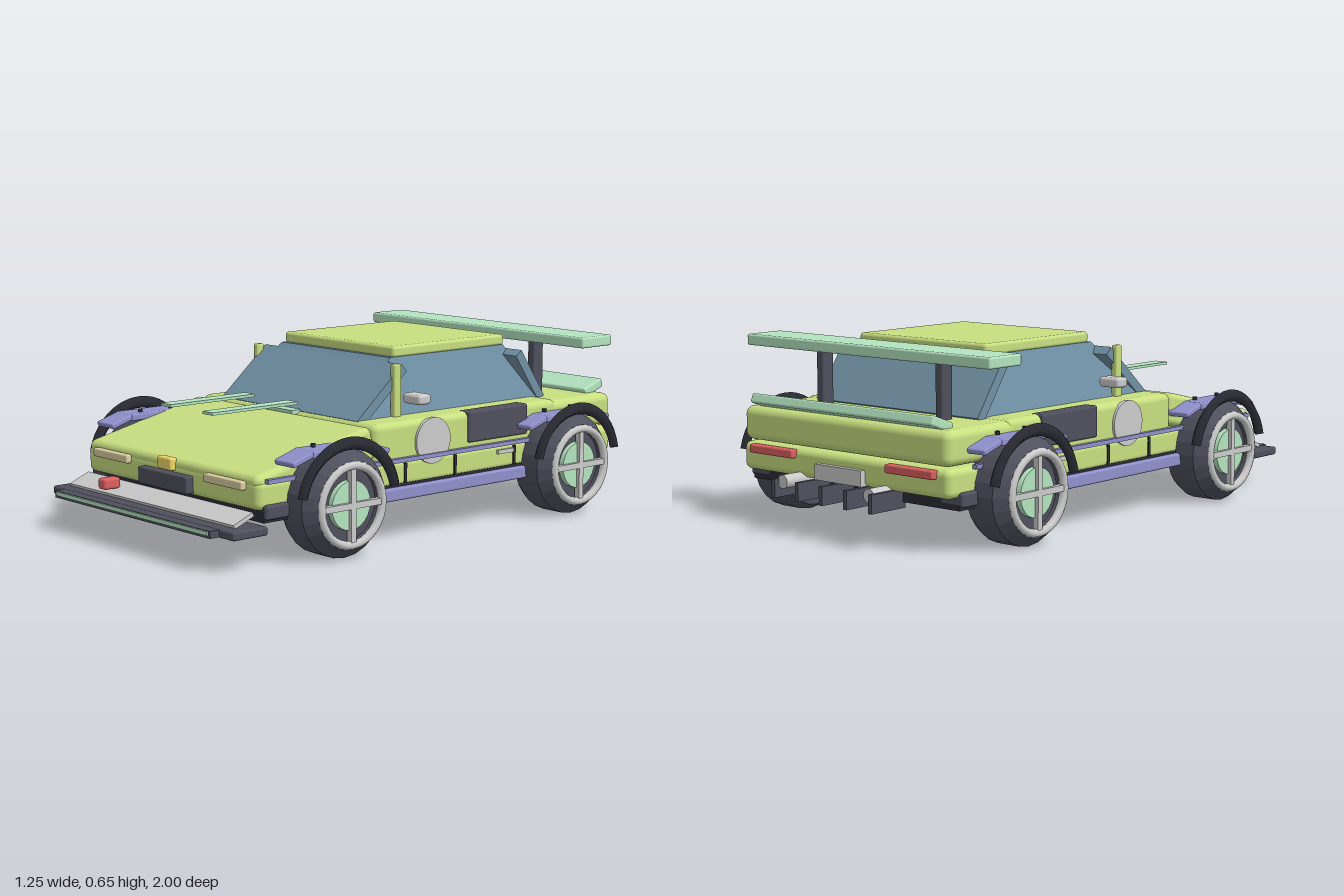
import * as THREE from 'three';
import { RoundedBoxGeometry } from 'three/addons/geometries/RoundedBoxGeometry.js';

const mat = (color) => new THREE.MeshStandardMaterial({ color });
const M = {
  body: mat(0xc8df80), mint: mat(0xb4e4c0), purple: mat(0x9090cc), dark: mat(0x50505e),
  glass: mat(0x7090a4), black: mat(0x2c2c36), grey: mat(0xcccccc), red: mat(0xdc6060),
  yellow: mat(0xf0d868), beige: mat(0xdccfa0),
};

export function createModel() {
  const car = new THREE.Group();
  car.name = 'car';

  const add = (name, geo, material, x = 0, y = 0, z = 0, rx = 0, parent = car) => {
    const m = new THREE.Mesh(geo, material);
    m.name = name;
    m.position.set(x, y, z);
    m.rotation.x = rx;
    parent.add(m);
    return m;
  };
  // Box given by its limits on each axis; r rounds the edges
  const box = (name, material, [x0, x1], [y0, y1], [z0, z1], r = 0) => {
    const s = [x1 - x0, y1 - y0, z1 - z0];
    const g = r ? new RoundedBoxGeometry(...s, 3, r) : new THREE.BoxGeometry(...s);
    return add(name, g, material, (x0 + x1) / 2, (y0 + y1) / 2, (z0 + z1) / 2);
  };
  const pair = (name, material, [x0, x1], y, z, r = 0) => {
    box(name + 'Left', material, [x0, x1], y, z, r);
    box(name + 'Right', material, [-x1, -x0], y, z, r);
  };
  // Slab whose top face runs between two (z, y) points
  const slab = (name, material, width, thick, [z0, y0], [z1, y1], r = 0, x = 0) => {
    const len = Math.hypot(z1 - z0, y1 - y0);
    const g = r ? new RoundedBoxGeometry(width, thick, len, 3, r) : new THREE.BoxGeometry(width, thick, len);
    g.translate(0, -thick / 2, 0);
    return add(name, g, material, x, (y0 + y1) / 2, (z0 + z1) / 2, -Math.atan2(y1 - y0, z1 - z0));
  };

  // Chassis, sills and body
  box('chassis', M.black, [-0.49, 0.49], [0.145, 0.2], [-0.85, 0.8]);
  pair('bumperFrontCorner', M.dark, [0.4, 0.505], [0.155, 0.205], [0.7, 0.8], 0.01);
  pair('bumperRearCorner', M.dark, [0.4, 0.505], [0.155, 0.205], [-0.85, -0.75], 0.01);
  pair('sill', M.purple, [0.46, 0.51], [0.145, 0.19], [-0.45, 0.4], 0.008);
  box('lowerBody', M.body, [-0.49, 0.49], [0.185, 0.285], [-0.9, 0.825], 0.025);
  box('middleBody', M.body, [-0.487, 0.487], [0.27, 0.415], [-0.6, 0.31], 0.025);
  box('rearDeck', M.body, [-0.487, 0.487], [0.29, 0.41], [-0.9, -0.55], 0.03);
  slab('hood', M.body, 0.97, 0.12, [0.32, 0.415], [0.83, 0.297], 0.025);
  pair('beltStrip', M.purple, [0.485, 0.503], [0.275, 0.29], [-0.78, 0.79]);

  // Cabin: tapered core, tilted windows, pillars and roof
  const core = new THREE.BoxGeometry(1, 0.2, 1);
  const p = core.attributes.position;
  for (let i = 0; i < p.count; i++) {
    const top = p.getY(i) > 0;
    const front = p.getZ(i) > 0;
    p.setX(i, Math.sign(p.getX(i)) * (top ? 0.3 : 0.38));
    p.setZ(i, front ? (top ? 0.07 : 0.27) : (top ? -0.5 : -0.61));
  }
  core.computeVertexNormals();
  add('cabinGlass', core, M.glass, 0, 0.51, 0);
  slab('windshield', M.glass, 0.76, 0.035, [0.085, 0.595], [0.295, 0.415]);
  slab('rearWindow', M.glass, 0.765, 0.035, [-0.64, 0.415], [-0.515, 0.595]);
  pair('frontPillar', M.body, [0.37, 0.395], [0.4, 0.6], [0.1, 0.133], 0.006);
  box('roof', M.body, [-0.302, 0.302], [0.607, 0.648], [-0.505, 0.055], 0.012);

  // Hood trim, front lights and grille
  for (const x of [-0.12, 0.12]) box('hoodStripe', M.mint, [x - 0.028, x + 0.028], [0.455, 0.465], [0.37, 0.745]);
  box('hoodTab', M.mint, [-0.07, 0.07], [0.405, 0.42], [0.285, 0.33]);
  pair('headlight', M.beige, [0.22, 0.427], [0.25, 0.28], [0.81, 0.845], 0.006);
  box('grille', M.dark, [-0.14, 0.14], [0.195, 0.255], [0.81, 0.855], 0.006);
  box('frontLamp', M.yellow, [-0.04, 0.04], [0.26, 0.305], [0.815, 0.845], 0.008);

  // Front splitter
  box('splitter', M.dark, [-0.525, 0.525], [0.112, 0.142], [0.81, 0.955], 0.008);
  box('splitterLip', M.dark, [-0.45, 0.45], [0.115, 0.14], [0.95, 0.993]);
  box('splitterTrim', M.mint, [-0.44, 0.44], [0.124, 0.138], [0.99, 0.998]);
  slab('splitterPlate', M.grey, 0.95, 0.015, [0.835, 0.185], [0.915, 0.152]);
  box('towHook', M.red, [-0.27, -0.226], [0.165, 0.205], [0.865, 0.935], 0.01);

  // Side details
  pair('sideIntake', M.dark, [0.44, 0.496], [0.305, 0.417], [-0.435, -0.135], 0.008);
  pair('doorHandle', M.grey, [0.485, 0.5], [0.247, 0.262], [-0.36, -0.28]);
  for (const z of [0.17, -0.07, -0.37]) pair('panelLine', M.black, [0.48, 0.494], [0.2, 0.27], [z - 0.006, z + 0.006]);
  for (const s of [-1, 1]) {
    const disc = add('doorDisc', new THREE.CylinderGeometry(0.082, 0.082, 0.015, 32), M.grey, s * 0.489, 0.335, 0.04);
    disc.rotation.z = Math.PI / 2;
  }
  pair('mirror', M.grey, [0.375, 0.465], [0.457, 0.494], [0.02, 0.08], 0.012);

  // Rear wing, lip, lights, exhausts and diffuser
  box('wing', M.mint, [-0.575, 0.575], [0.608, 0.648], [-0.797, -0.637], 0.008);
  pair('wingStrut', M.dark, [0.265, 0.3], [0.4, 0.61], [-0.722, -0.67], 0.008);
  slab('rearLip', M.mint, 0.865, 0.035, [-0.905, 0.46], [-0.81, 0.425], 0.008);
  pair('tailLight', M.red, [0.22, 0.435], [0.25, 0.28], [-0.922, -0.89], 0.006);
  box('rearPlate', M.grey, [-0.11, 0.11], [0.19, 0.245], [-0.92, -0.89]);
  for (let i = -2; i <= 2; i++) box('diffuserFin', M.dark, [i * 0.115 - 0.008, i * 0.115 + 0.008], [0.125, 0.19], [-1, -0.84]);
  for (const s of [-1, 1])
    add('exhaust', new THREE.CylinderGeometry(0.024, 0.024, 0.14, 16), M.grey, s * 0.205, 0.18, -0.91, Math.PI / 2);

  // Wheels and fenders; each is built for the left and mirrored by a half turn
  const tyreProfile = [[0.1, -0.085], [0.165, -0.085], [0.185, -0.05], [0.185, 0.045], [0.15, 0.087], [0.13, 0.087], [0.125, 0.06], [0, 0.06]]
    .map(([r, h]) => new THREE.Vector2(r, h));
  const inner = new THREE.Vector2(0, -0.085);
  const tyreGeo = new THREE.LatheGeometry([inner, ...tyreProfile], 24).toNonIndexed();
  tyreGeo.computeVertexNormals();
  tyreGeo.rotateZ(-Math.PI / 2);
  const rimGeo = new THREE.TorusGeometry(0.135, 0.015, 8, 32).rotateY(Math.PI / 2);
  const hubGeo = new THREE.CylinderGeometry(0.085, 0.085, 0.02, 24).rotateZ(Math.PI / 2);
  const arc = Math.PI * 0.86;
  const archGeo = new THREE.TorusGeometry(0.208, 0.022, 4, 20, arc).rotateZ((Math.PI - arc) / 2).rotateY(Math.PI / 2);

  for (const [end, z] of [['front', 0.52], ['rear', -0.595]]) {
    for (const s of [-1, 1]) {
      const g = new THREE.Group();
      g.name = end + (s > 0 ? 'LeftWheel' : 'RightWheel');
      g.position.set(s * 0.523, 0.185, z);
      g.rotation.y = s > 0 ? 0 : Math.PI;
      car.add(g);
      add('tyre', tyreGeo, M.dark, 0, 0, 0, 0, g);
      add('rim', rimGeo, M.grey, 0.085, 0, 0, 0, g);
      add('hub', hubGeo, M.mint, 0.072, 0, 0, 0, g);
      for (const a of [0, Math.PI / 2])
        add('spoke', new THREE.BoxGeometry(0.022, 0.26, 0.022), M.grey, 0.084, 0, 0, a, g);
      add('wheelArch', archGeo, M.black, 0.072, 0, 0, 0, g);

      // Fender: flat top with a drooping flap at each end, held by bolts
      const x = s * 0.512;
      add('fenderTop', new RoundedBoxGeometry(0.105, 0.025, 0.26, 2, 0.006), M.purple, x, 0.363, z);
      for (const e of [-1, 1]) {
        add('fenderFlap', new RoundedBoxGeometry(0.1, 0.02, 0.1, 2, 0.006), M.purple, x, 0.352, z + e * 0.165, e * 0.3);
        add('fenderBolt', new THREE.CylinderGeometry(0.008, 0.008, 0.015, 8), M.black, s * 0.492, 0.38, z + e * 0.07);
      }
    }
  }
  return car;
}
